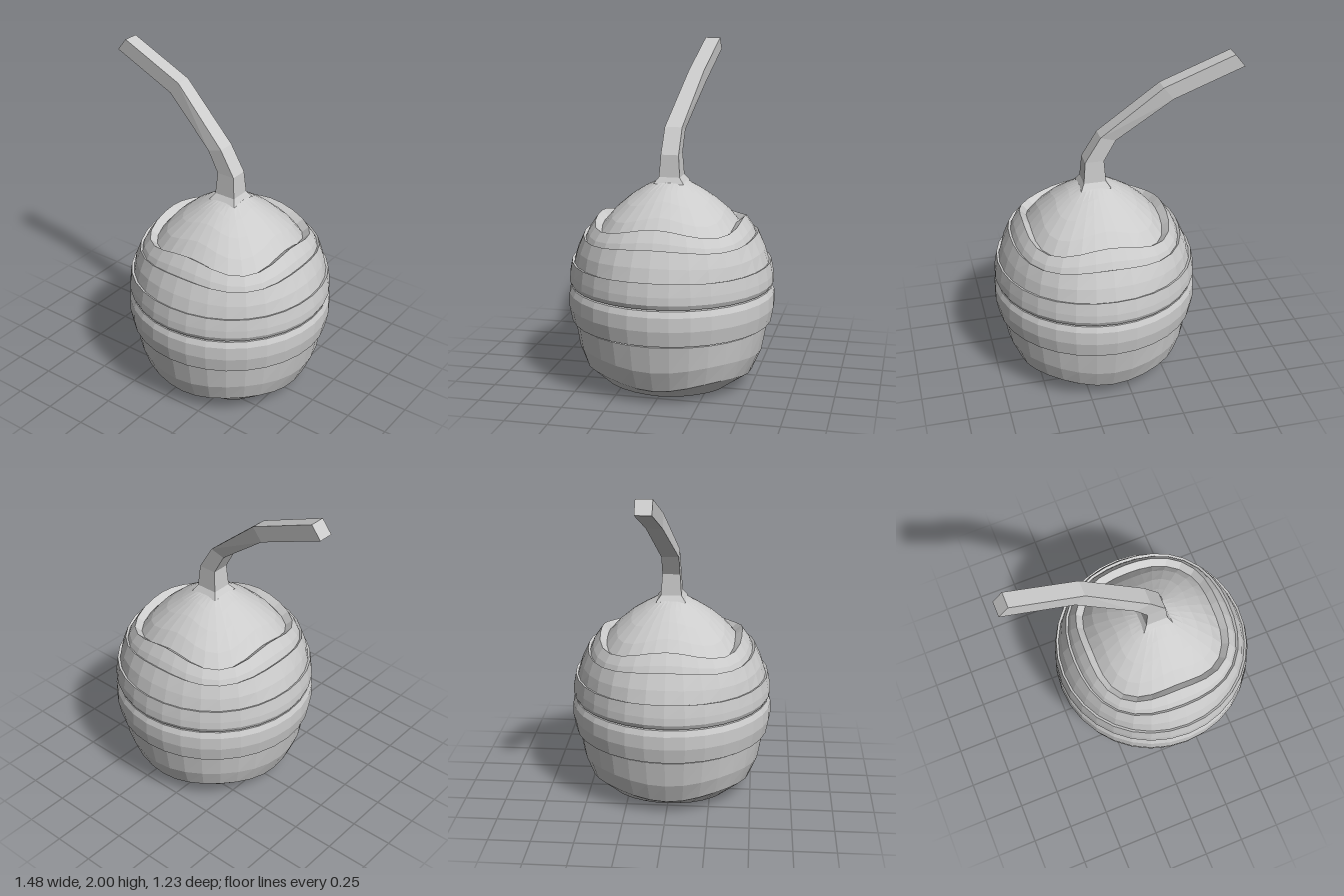
import * as THREE from 'three';

const CX = 0.12; // hive axis
const SIDES = 32;

// Skin a list of closed rings (arrays of Vector3), listed from top to bottom
function loft(rings, capTop = false) {
  const n = rings[0].length;
  const pos = rings.flat().flatMap((p) => [p.x, p.y, p.z]);
  const idx = [];
  for (let i = 0; i < rings.length - 1; i++) {
    for (let j = 0; j < n; j++) {
      const a = i * n + j, b = i * n + (j + 1) % n;
      idx.push(a, b, b + n, a, b + n, a + n);
    }
  }
  if (capTop) for (let j = 1; j < n - 1; j++) idx.push(0, j + 1, j);
  const g = new THREE.BufferGeometry();
  g.setAttribute('position', new THREE.Float32BufferAttribute(pos, 3));
  g.setIndex(idx);
  g.computeVertexNormals();
  return g;
}

// Rounded-square ring: radius and height at the sides, then at the corners
function ring([r, y, rc = r, yc = y]) {
  return Array.from({ length: SIDES }, (_, j) => {
    const t = (j / SIDES) * Math.PI * 2;
    const k = Math.sin(2 * t) ** 2;
    const rad = r + (rc - r) * k;
    return new THREE.Vector3(CX + rad * Math.cos(t), y + (yc - y) * k, rad * Math.sin(t));
  });
}

export function createModel() {
  const group = new THREE.Group();
  const mat = new THREE.MeshStandardMaterial({ color: 0xcccccc, flatShading: true, side: THREE.DoubleSide });
  const add = (name, geo, parent = group) => {
    const m = new THREE.Mesh(geo, mat);
    m.name = name;
    parent.add(m);
    return m;
  };

  // Overlapping shells of the hive, each with a small rim tucked inward
  const shells = {
    crownShell: [
      [0.075, 1.225, 0.11, 1.215], [0.15, 1.19, 0.19, 1.165], [0.23, 1.14, 0.285, 1.1],
      [0.32, 1.065, 0.38, 1.015], [0.395, 0.98, 0.45, 0.925],
    ],
    upperShell: [
      [0.385, 0.985, 0.435, 0.935], [0.43, 1.02, 0.48, 0.97], [0.475, 0.955, 0.515, 0.92], [0.515, 0.87, 0.545, 0.85],
    ],
    shoulderShell: [
      [0.475, 0.9, 0.51, 0.875], [0.51, 0.922, 0.54, 0.9], [0.553, 0.83, 0.568, 0.82], [0.585, 0.73],
    ],
    middleShell: [
      [0.56, 0.74], [0.592, 0.757, 0.597, 0.75], [0.607, 0.68], [0.61, 0.635], [0.598, 0.608], [0.565, 0.608],
    ],
    waistShell: [
      [0.565, 0.6], [0.598, 0.6], [0.613, 0.565], [0.615, 0.485], [0.598, 0.395], [0.555, 0.4],
    ],
    bottomShell: [
      [0.54, 0.4], [0.577, 0.382], [0.547, 0.22, 0.56, 0.25], [0.49, 0.09, 0.525, 0.14],
      [0.345, 0.005, 0.405, 0.03], [0.33, 0.03, 0.385, 0.055], [0.44, 0.12, 0.475, 0.15], [0.5, 0.24],
    ],
  };
  for (const [name, profile] of Object.entries(shells)) add(name, loft(profile.map(ring)));

  // Comb seen through the bottom opening: a plate with a lattice of ribs
  const comb = new THREE.Group();
  comb.name = 'comb';
  comb.position.set(CX, 0.13, 0);
  group.add(comb);
  const plate = add('combPlate', new THREE.CylinderGeometry(0.48, 0.48, 0.02, SIDES), comb);
  plate.position.y = 0.05;
  const R = 0.45, step = 0.075;
  for (let i = -5; i <= 5; i++) {
    const len = 2 * Math.sqrt(R * R - (i * step) ** 2);
    add('combRib', new THREE.BoxGeometry(0.016, 0.05, len), comb).position.set(i * step, 0.02, 0);
    add('combRib', new THREE.BoxGeometry(len, 0.05, 0.016), comb).position.set(0, 0.02, i * step);
  }

  // Bent square stem: [left x, left y, right x, right y, z centre, half depth]
  const stem = [
    [-0.74, 1.925, -0.68, 2.0, -0.087, 0.047],
    [-0.33, 1.755, -0.27, 1.83, -0.065, 0.047],
    [-0.005, 1.505, 0.085, 1.53, -0.002, 0.052],
    [0.065, 1.38, 0.177, 1.38, 0, 0.053],
    [0.055, 1.25, 0.188, 1.25, 0, 0.062],
    [0.03, 1.213, 0.21, 1.213, 0, 0.09],
  ].map(([x0, y0, x1, y1, z, d]) => [
    new THREE.Vector3(x1, y1, z - d), new THREE.Vector3(x1, y1, z + d),
    new THREE.Vector3(x0, y0, z + d), new THREE.Vector3(x0, y0, z - d),
  ]);
  add('stem', loft(stem, true));

  return group;
}
